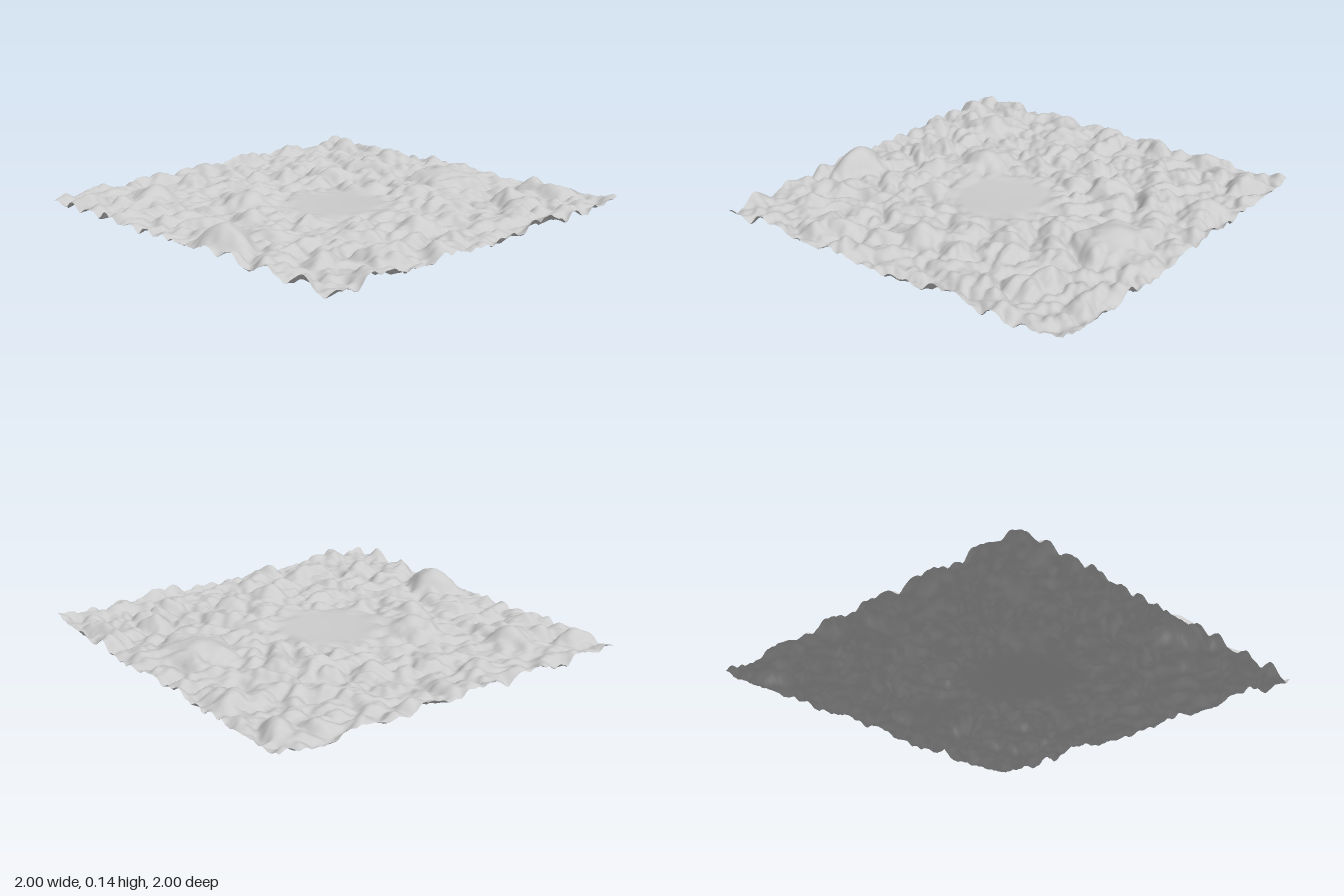
import * as THREE from 'three';

// Seeded gradient direction for a lattice point
function gradient(ix, iz, seed) {
  let h = Math.imul(ix, 374761393) ^ Math.imul(iz, 668265263) ^ Math.imul(seed, 974634533);
  h = Math.imul(h ^ (h >>> 13), 1274126177);
  h = Math.imul(h ^ (h >>> 16), 2246822519);
  const a = ((h ^ (h >>> 15)) >>> 0) / 4294967296 * Math.PI * 2;
  return [Math.cos(a), Math.sin(a)];
}

// Smooth 2D gradient noise
function noise(x, z, seed) {
  const ix = Math.floor(x), iz = Math.floor(z), fx = x - ix, fz = z - iz;
  const fade = t => t * t * t * (t * (t * 6 - 15) + 10);
  const corner = (i, j) => {
    const g = gradient(ix + i, iz + j, seed);
    return g[0] * (fx - i) + g[1] * (fz - j);
  };
  const u = fade(fx), v = fade(fz), lerp = THREE.MathUtils.lerp;
  return lerp(lerp(corner(0, 0), corner(1, 0), u), lerp(corner(0, 1), corner(1, 1), u), v);
}

// Layers of mounds: frequency, height, turn, seed
const LAYERS = [[4.6, 0.1, 0.5, 1], [7.5, 0.08, 1.1, 2], [14, 0.03, 1.9, 3]];

// Larger hills: x, z, radius, summit height
const HILLS = [
  [0.2, 0.88, 0.1, 0.148], [0.12, -0.68, 0.14, 0.115], [-0.22, 0.36, 0.09, 0.115],
  [-0.64, 0.64, 0.09, 0.12], [0.62, 0.08, 0.08, 0.11], [-0.02, 0.53, 0.07, 0.1],
];
const CLEARING = { x: 0.06, z: 0.04, inner: 0.18, outer: 0.36, height: 0.045 };

// Rounded mounds separated by sharp creases, with a nearly level clearing
function heightAt(x, z) {
  const { lerp, smoothstep } = THREE.MathUtils;
  let y = 0.008;
  for (const [freq, amp, turn, seed] of LAYERS) {
    const c = Math.cos(turn) * freq, s = Math.sin(turn) * freq;
    y += amp * Math.abs(noise(x * c - z * s + 31.3, x * s + z * c + 17.7, seed));
  }
  for (const [hx, hz, r, summit] of HILLS) {
    y = lerp(y, summit, Math.exp(-((x - hx) ** 2 + (z - hz) ** 2) / (r * r)));
  }
  const d = Math.hypot(x - CLEARING.x, z - CLEARING.z);
  const floor = CLEARING.height + 0.012 * noise(x * 2 + 5.4, z * 2 + 8.6, 4);
  return lerp(floor, y, smoothstep(d, CLEARING.inner, CLEARING.outer));
}

export function createModel() {
  const model = new THREE.Group();
  model.name = 'landscape';

  // Terrain sheet, its lowest crease resting on the ground
  const geometry = new THREE.PlaneGeometry(2, 2, 160, 160).rotateX(-Math.PI / 2);
  const pos = geometry.attributes.position;
  for (let i = 0; i < pos.count; i++) pos.setY(i, heightAt(pos.getX(i), pos.getZ(i)));
  geometry.computeBoundingBox();
  geometry.translate(0, -geometry.boundingBox.min.y, 0);
  geometry.computeVertexNormals();

  const terrain = new THREE.Mesh(geometry, new THREE.MeshStandardMaterial({
    color: 0xcccccc, side: THREE.DoubleSide,
  }));
  terrain.name = 'terrain';
  model.add(terrain);
  return model;
}
